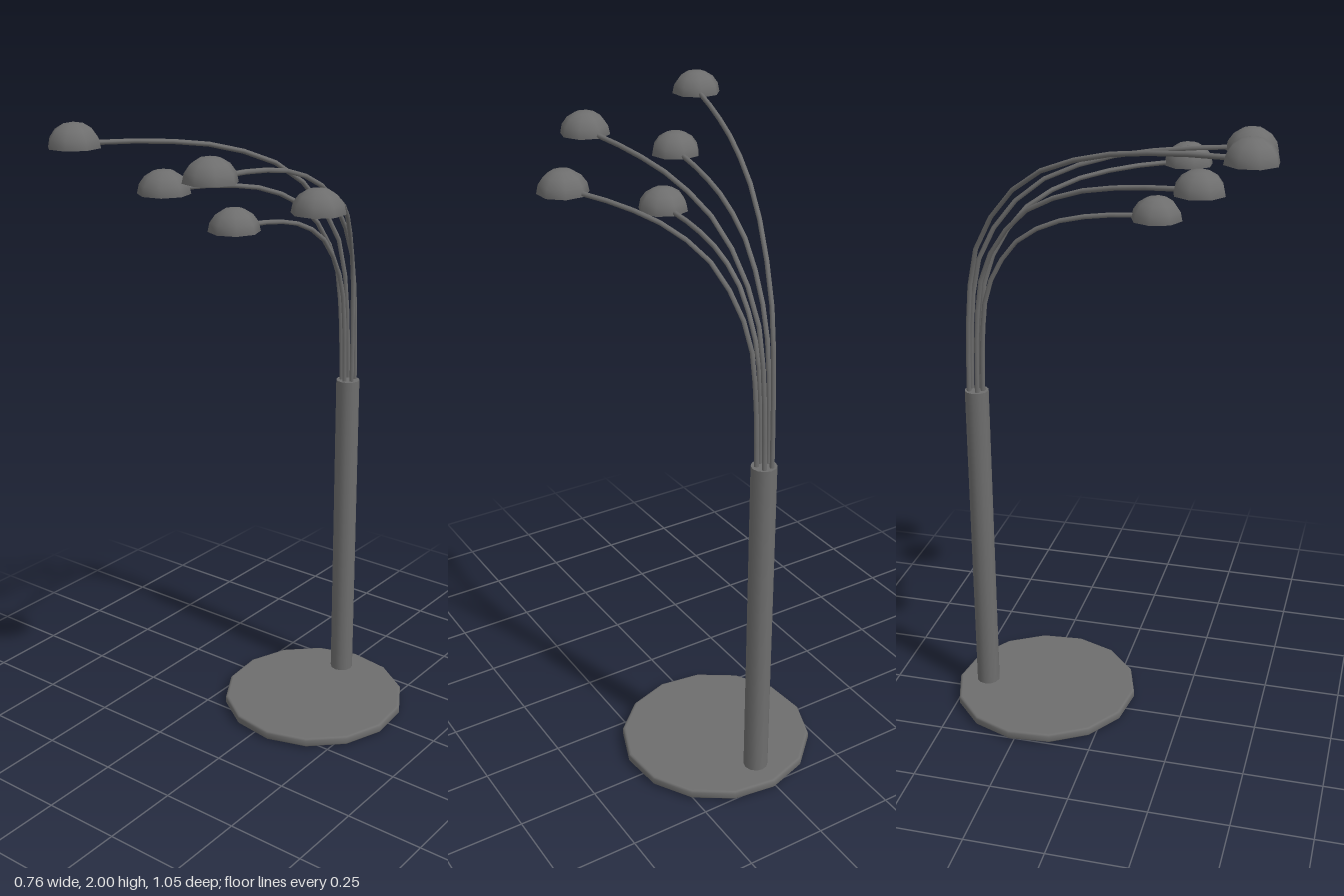
import * as THREE from 'three';

const metal = new THREE.MeshStandardMaterial({ color: 0x6e6e6e });
const thin = new THREE.MeshStandardMaterial({ color: 0x6e6e6e, side: THREE.DoubleSide });

const POLE = { x: 0.016, z: -0.426, top: 1.103, radius: 0.038 };
const SHADE_RADIUS = 0.0755;

// Each arm: start offset from the pole axis, then the shade's rim centre
const ARMS = [
  { start: [-0.013, -0.021], end: [-0.308, 1.932, 0.453] },
  { start: [-0.02, 0.008], end: [-0.133, 1.802, 0.29] },
  { start: [0, 0.02], end: [-0.002, 1.689, 0.145] },
  { start: [0.013, -0.021], end: [0.117, 1.874, 0.393] },
  { start: [0.02, 0.008], end: [0.307, 1.782, 0.175] },
];

// Shared bend of the arms: [share of the reach, share of the rise]
const BEND = [[0, 0], [0.012, 0.3], [0.05, 0.55], [0.14, 0.71], [0.28, 0.845], [0.51, 0.94], [0.77, 0.985], [1, 1]];

function addMesh(parent, name, geometry, material, x = 0, y = 0, z = 0) {
  const mesh = new THREE.Mesh(geometry, material);
  mesh.name = name;
  mesh.position.set(x, y, z);
  parent.add(mesh);
  return mesh;
}

export function createModel() {
  const lamp = new THREE.Group();
  lamp.name = 'archedFloorLamp';

  // Flat fourteen-sided foot with a softened rim
  const profile = [[0, 0.004], [0.293, 0.004], [0.299, 0.005], [0.303, 0.01], [0.303, 0.027], [0.299, 0.032], [0.293, 0.033], [0, 0.033]]
    .map(([r, y]) => new THREE.Vector2(r, y));
  const foot = addMesh(lamp, 'base', new THREE.LatheGeometry(profile, 14), metal, 0.037, 0, -0.224);
  foot.rotation.y = THREE.MathUtils.degToRad(4.8);

  // Upright pole near the back, passing through the foot to the floor
  const pole = new THREE.CylinderGeometry(POLE.radius, POLE.radius, POLE.top, 12);
  addMesh(lamp, 'pole', pole, metal, POLE.x, POLE.top / 2, POLE.z);

  // Arms rising from the pole and bending forward, each with a dome shade
  ARMS.forEach(({ start, end }, i) => {
    const arm = new THREE.Group();
    arm.name = `arm${i + 1}`;
    lamp.add(arm);

    const from = new THREE.Vector3(POLE.x + start[0], POLE.top - 0.02, POLE.z + start[1]);
    const rim = new THREE.Vector3(...end);
    const heading = Math.atan2(rim.x - from.x, rim.z - from.z);

    // The tube ends just inside the back wall of its shade
    const tip = new THREE.Vector3(-Math.sin(heading), 0, -Math.cos(heading)).multiplyScalar(SHADE_RADIUS - 0.012).add(rim);
    tip.y += 0.008;
    const points = BEND.map(([reach, rise]) => {
      const point = from.clone().lerp(tip, reach);
      point.y = THREE.MathUtils.lerp(from.y, tip.y, rise);
      return point;
    });
    const path = new THREE.CatmullRomCurve3(points, false, 'centripetal');
    addMesh(arm, 'armTube', new THREE.TubeGeometry(path, 12, 0.0075, 6), thin);

    // Open eight-sided half-sphere, one rim corner pointing along the arm
    const dome = new THREE.SphereGeometry(SHADE_RADIUS, 8, 4, 0, Math.PI * 2, 0, Math.PI / 2);
    dome.scale(1, 0.91, 1);
    addMesh(arm, 'shade', dome, thin, ...end).rotation.y = heading;
  });

  return lamp;
}
